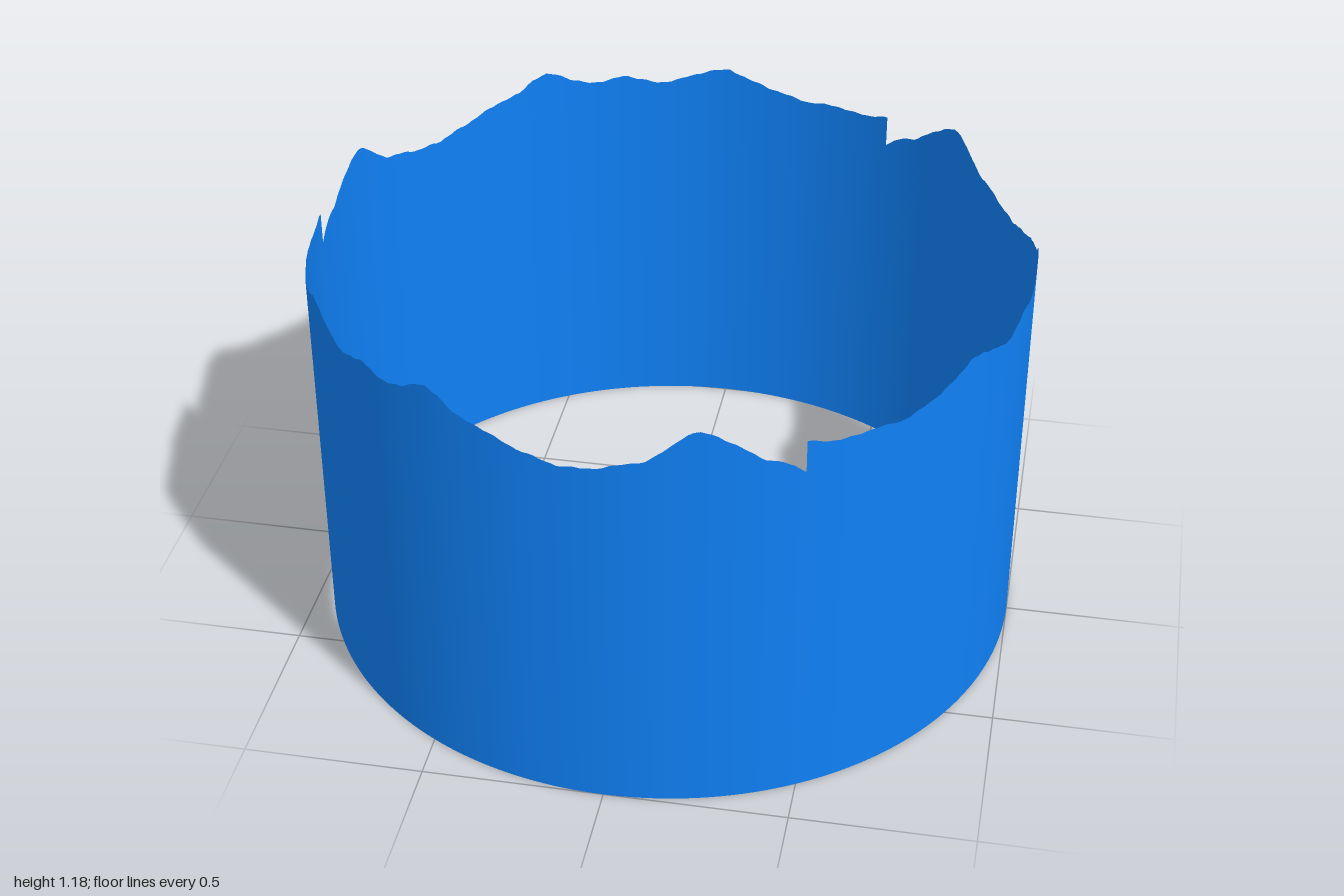
import * as THREE from 'three';

// Ridge outline of one panel: [fraction across the panel, height]
const RIDGE = [
  [0, 1.12], [0.03, 1.105], [0.06, 1.1], [0.09, 1.105], [0.13, 1.095], [0.16, 1.105],
  [0.19, 1.12], [0.22, 1.14], [0.25, 1.168], [0.28, 1.16], [0.307, 1.14], [0.33, 1.125],
  [0.355, 1.115], [0.38, 1.13], [0.404, 1.145], [0.43, 1.133], [0.455, 1.13], [0.48, 1.145],
  [0.505, 1.175], [0.525, 1.182], [0.545, 1.168], [0.565, 1.135], [0.6, 1.12], [0.65, 1.085],
  [0.7, 1.06], [0.74, 1.063], [0.78, 1.085], [0.81, 1.1], [0.835, 1.14], [0.855, 1.178],
  [0.872, 1.185], [0.895, 1.165], [0.92, 1.13], [0.945, 1.09], [0.972, 1.07], [1, 1.03],
];
const PANELS = 3, COLUMNS = 140;

// Height of the ridge at t, with a little fine roughness
function ridgeHeight(t) {
  const i = Math.max(1, RIDGE.findIndex((p) => p[0] >= t - 1e-6));
  const [a, ha] = RIDGE[i - 1], [b, hb] = RIDGE[i];
  const rough = 0.003 * Math.sin(t * 190) * Math.sin(t * 67 + 1);
  return Math.min(1.185, THREE.MathUtils.lerp(ha, hb, (t - a) / (b - a)) + rough);
}

export function createModel() {
  const group = new THREE.Group();
  group.name = 'mountainBackdrop';
  const material = new THREE.MeshStandardMaterial({ color: 0x0f80f5, side: THREE.DoubleSide });

  // Open wall arc whose top edge follows the ridge; repeats leave a step at each seam
  const arc = (Math.PI * 2) / PANELS;
  for (let k = 0; k < PANELS; k++) {
    const geometry = new THREE.CylinderGeometry(1, 1, 1, COLUMNS, 1, true, Math.PI / 6 + k * arc, arc);
    const { position, uv } = geometry.attributes;
    for (let i = 0; i < position.count; i++) {
      position.setY(i, position.getY(i) > 0 ? ridgeHeight(uv.getX(i)) : 0);
    }
    const panel = new THREE.Mesh(geometry, material);
    panel.name = `ridgePanel${k + 1}`;
    group.add(panel);
  }
  return group;
}
